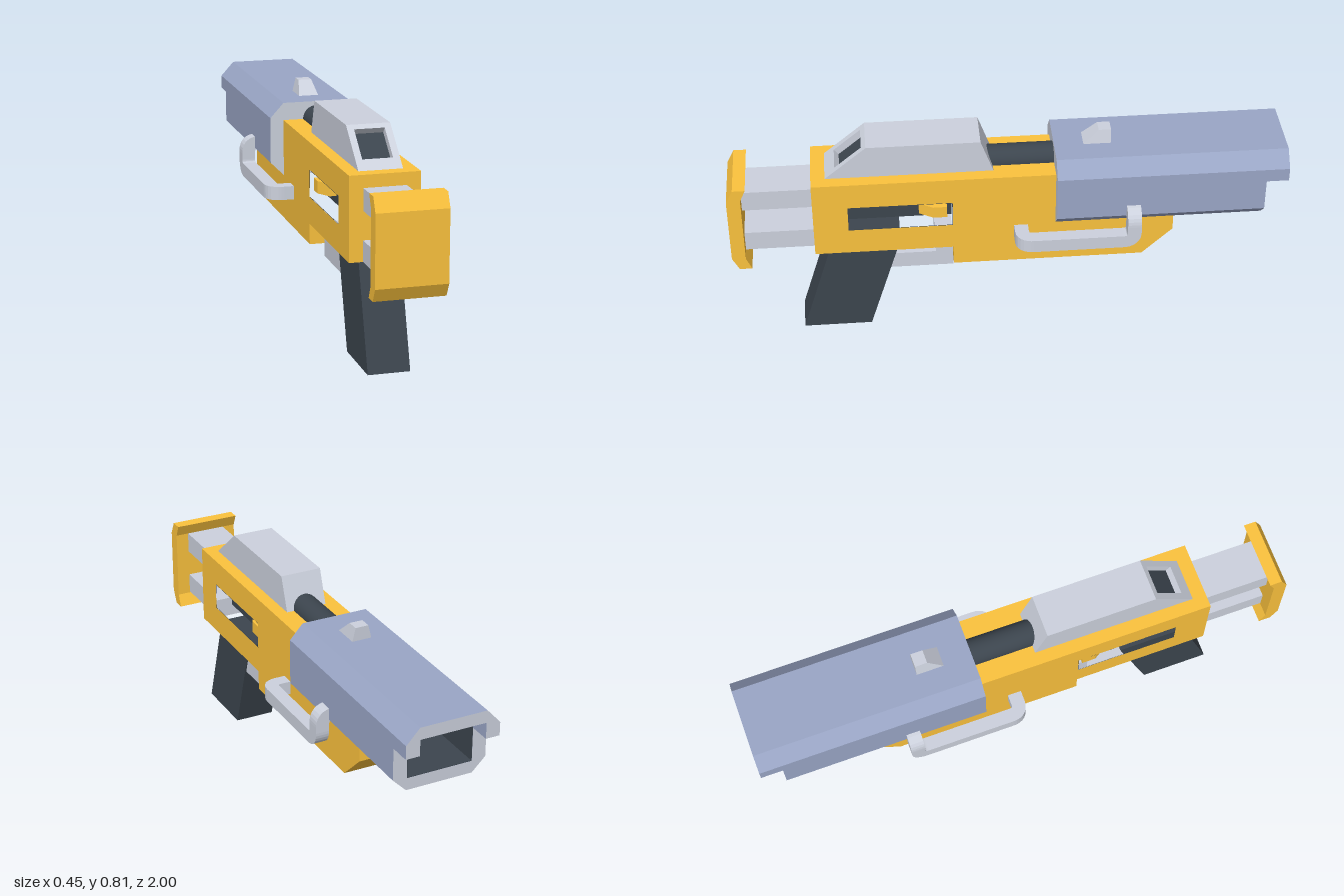
import * as THREE from 'three';

const paint = (color) => new THREE.MeshStandardMaterial({ color });
const grey = paint(0xccd1dd);
const yellow = paint(0xfbc23d);
const blue = paint(0x9aa6c6);
const dark = paint(0x3c454e);

const toShape = (pts) => new THREE.Shape(pts.map(([x, y]) => new THREE.Vector2(x, y)));

// Straight extrusion along +z, with an optional hole
function extrude(pts, depth, hole) {
  const shape = toShape(pts);
  if (hole) shape.holes.push(toShape(hole));
  return new THREE.ExtrudeGeometry(shape, { depth, bevelEnabled: false });
}

// Side profile given as [z, y], extruded across x by half the width each way
function sideExtrude(pts, half, hole) {
  const flip = (list) => list && list.map(([z, y]) => [-z, y]);
  return extrude(flip(pts), half * 2, flip(hole)).rotateY(Math.PI / 2).translate(-half, 0, 0);
}

// Rectangle outline, drawn in by t on every side
const rect = (x0, x1, y0, y1, t = 0) =>
  [[x0 + t, y0 + t], [x1 - t, y0 + t], [x1 - t, y1 - t], [x0 + t, y1 - t]];

// Half outline on +x, bottom to top, mirrored into a closed outline
const mirrored = (half) => [...half, ...half.map(([x, y]) => [-x, y]).reverse()];

export function createModel() {
  const model = new THREE.Group();
  const add = (name, geometry, material, parent = model) => {
    const mesh = new THREE.Mesh(geometry, material);
    mesh.name = name;
    parent.add(mesh);
  };

  // Main body with a window through its sides
  const slot = (t) => rect(0.2, 0.575, 0.48, 0.58, t);
  add('body', sideExtrude([
    [0.7, 0.38], [0.7, 0.68], [-0.2, 0.68], [-0.2, 0.475], [-0.6, 0.475],
    [-0.6, 0.41], [-0.49, 0.305], [0.2, 0.305], [0.2, 0.38],
  ], 0.125, slot(0)), yellow);

  // Dark window lining and core, with a wedge tab on each side
  add('windowLining', sideExtrude(slot(0), 0.1245, slot(0.002)), dark);
  add('windowCore', sideExtrude(slot(0.001), 0.06), dark);
  for (const s of [1, -1]) {
    const plan = [[0.055, -0.32], [0.085, -0.32], [0.115, -0.27], [0.115, -0.22], [0.055, -0.22]];
    add('windowTab', extrude(plan.map(([x, y]) => [s * x, y]), 0.045)
      .rotateX(-Math.PI / 2).translate(0, 0.51, 0), yellow);
  }

  // Grip and trigger guard
  add('grip', sideExtrude([[0.64, 0.385], [0.39, 0.385], [0.51, 0], [0.76, 0]], 0.075), dark);
  add('triggerGuard', sideExtrude([
    [0.46, 0.257], [0.199, 0.257], [0.199, 0.385], [0.262, 0.385], [0.262, 0.32], [0.46, 0.32],
  ], 0.07), grey);

  // Stock: two bars and a bent butt plate
  for (const [y0, y1] of [[0.38, 0.455], [0.557, 0.635]]) {
    add('stockBar', sideExtrude(rect(0.68, 0.96, y0, y1), 0.0755), grey);
  }
  add('buttPlate', sideExtrude([
    [1, 0.378], [1, 0.63], [0.975, 0.68], [0.93, 0.68], [0.95, 0.635],
    [0.95, 0.375], [0.93, 0.33], [0.975, 0.33],
  ], 0.125), yellow);

  // Scope housing, with a framed window on its slanted face
  const scope = new THREE.Group();
  scope.name = 'scope';
  model.add(scope);
  add('scopeHousing', sideExtrude([
    [0.603, 0.68], [0.481, 0.782], [0.5, 0.805], [0.095, 0.805], [0.05, 0.68],
  ], 0.078), grey, scope);
  const face = new THREE.Group();
  face.name = 'scopeWindow';
  face.position.set(0, 0.7425 - 0.03 * 0.769, 0.575 - 0.03 * 0.641);
  face.rotation.x = -Math.atan2(0.15, 0.125);
  scope.add(face);
  const pane = rect(-0.054, 0.054, -0.05, 0.077);
  add('windowFrame', extrude(rect(-0.078, 0.078, -0.0976, 0.0976), 0.03, pane), grey, face);
  add('windowPane', extrude(pane, 0.004), dark, face);

  // Inner tube between scope and barrel shroud
  add('innerTube', new THREE.CylinderGeometry(0.05, 0.05, 0.26, 32)
    .rotateX(Math.PI / 2).translate(0, 0.68, -0.06), dark);

  // Barrel shroud: solid rear, hollow middle, overhanging lip at the muzzle
  const outer = mirrored([[0.125, 0.47], [0.175, 0.52], [0.175, 0.69], [0.125, 0.745]]);
  const bore = (t) => rect(-0.123, 0.123, 0.515, 0.7, t);
  const lip = mirrored([[0.123, 0.7], [0.123, 0.64], [0.175, 0.64], [0.175, 0.69], [0.125, 0.745]]);
  const shell = [grey, blue];
  add('shroudRear', extrude(outer, 0.13).translate(0, 0, -0.3), shell);
  add('shroud', extrude(outer, 0.62, bore(0)).translate(0, 0, -0.92), shell);
  add('muzzleLip', extrude(lip, 0.08).translate(0, 0, -1), shell);
  add('boreLining', extrude(bore(0), 0.615, bore(0.002)).translate(0, 0, -0.9195), dark);
  add('boreEnd', extrude(bore(0.001), 0.01).translate(0, 0, -0.312), dark);

  // Tapered front sight
  const sight = new THREE.BoxGeometry(0.076, 0.055, 0.105).toNonIndexed();
  const p = sight.attributes.position;
  for (let i = 0; i < p.count; i++) {
    if (p.getY(i) > 0) {
      p.setX(i, p.getX(i) * 0.65);
      if (p.getZ(i) > 0) p.setZ(i, -0.008);
    }
  }
  sight.computeVertexNormals();
  add('frontSight', sight.translate(0, 0.7675, -0.3225), grey);

  // Bent square side rails, from the body out, along and up into the shroud
  const section = toShape(rect(-0.025, 0.025, -0.025, 0.025));
  for (const s of [1, -1]) {
    const pts = [[0.1, 0.44, -0.045], [0.2, 0.44, -0.045], [0.2, 0.44, -0.445],
      [0.2, 0.54, -0.445], [0.14, 0.54, -0.445]]
      .map(([x, y, z]) => new THREE.Vector3(s * x, y, z));
    const path = new THREE.CurvePath();
    let from = pts[0];
    for (let i = 1; i < pts.length - 1; i++) {
      const toward = (q) => pts[i].clone().add(q.clone().sub(pts[i]).setLength(0.038));
      const a = toward(pts[i - 1]), b = toward(pts[i + 1]);
      path.add(new THREE.LineCurve3(from, a));
      path.add(new THREE.QuadraticBezierCurve3(a, pts[i], b));
      from = b;
    }
    path.add(new THREE.LineCurve3(from, pts[pts.length - 1]));
    add('sideRail', new THREE.ExtrudeGeometry(section,
      { steps: 80, bevelEnabled: false, extrudePath: path }), grey);
  }
  return model;
}
